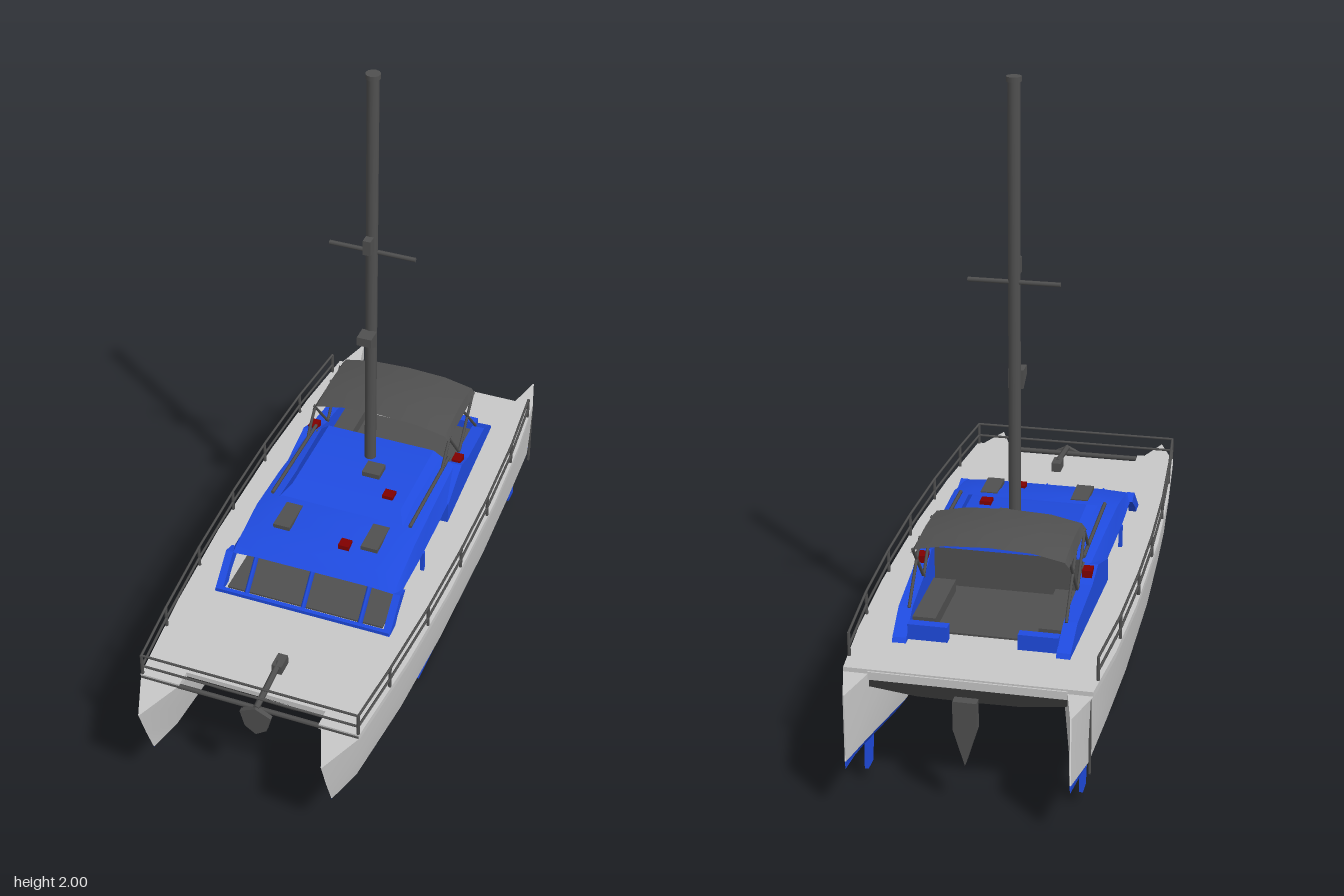
import * as THREE from 'three';
import { toCreasedNormals } from 'three/addons/utils/BufferGeometryUtils.js';

const mat = (name, color) => new THREE.MeshStandardMaterial({ name, color, side: THREE.DoubleSide });

// Surface through cross-sections that all have the same number of points
function loft(rings, closed = false, caps = false) {
  const n = rings[0].length, pos = rings.flat(2), idx = [];
  for (let i = 0; i < rings.length - 1; i++)
    for (let j = 0; j < (closed ? n : n - 1); j++) {
      const a = i * n + j, b = i * n + (j + 1) % n;
      idx.push(a, b, a + n, b, b + n, a + n);
    }
  if (caps) for (let j = 1; j < n - 1; j++) {
    const e = (rings.length - 1) * n;
    idx.push(0, j + 1, j, e, e + j, e + j + 1);
  }
  const g = new THREE.BufferGeometry();
  g.setAttribute('position', new THREE.Float32BufferAttribute(pos, 3));
  g.setIndex(idx);
  return toCreasedNormals(g, 0.5);
}

// Side profile given as [z, y], extruded from x0 to x0 + width
function sideProfile(points, x0, width) {
  const g = new THREE.ExtrudeGeometry(new THREE.Shape(points.map(p => new THREE.Vector2(...p))),
    { depth: width, bevelEnabled: false });
  return g.rotateY(-Math.PI / 2).translate(x0 + width, 0, 0);
}

export function createModel() {
  const model = new THREE.Group();
  const grey = mat('hullGrey', 0xc8c8c8), blue = mat('blue', 0x1f4be0);
  const dark = mat('darkGrey', 0x505050), black = mat('undersideBlack', 0x343434), red = mat('red', 0x800000);

  const add = (name, geo, m) => {
    const mesh = new THREE.Mesh(geo, m);
    mesh.name = name;
    model.add(mesh);
    return mesh;
  };
  const box = (name, w, h, d, x, y, z, m) => add(name, new THREE.BoxGeometry(w, h, d).translate(x, y, z), m);
  const rod = (name, a, b, r, m = dark, sides = 6) => {
    const p = new THREE.Vector3(...a), q = new THREE.Vector3(...b), dir = q.clone().sub(p);
    const mesh = add(name, new THREE.CylinderGeometry(r, r, dir.length(), sides), m);
    mesh.position.copy(p).add(q).multiplyScalar(0.5);
    mesh.quaternion.setFromUnitVectors(new THREE.Vector3(0, 1, 0), dir.normalize());
  };

  // Hull stations: z top, z waterline, inner/outer x at top, inner/outer x at waterline, keel y
  const stations = [
    [0.985, 0.905, 0.289, 0.292, 0.289, 0.292, 0.188],
    [0.84, 0.79, 0.232, 0.352, 0.264, 0.326, 0.168],
    [0.5, 0.48, 0.21, 0.383, 0.245, 0.355, 0.113],
    [0.15, 0.15, 0.205, 0.4, 0.235, 0.368, 0.09],
    [-0.3, -0.3, 0.205, 0.4, 0.235, 0.37, 0.095],
    [-0.6, -0.6, 0.22, 0.387, 0.245, 0.362, 0.122],
    [-0.85, -0.85, 0.29, 0.363, 0.297, 0.352, 0.15],
    [-0.985, -0.985, 0.322, 0.326, 0.322, 0.326, 0.165],
  ];
  const WL = 0.19;
  for (const s of [-1, 1]) {
    const topsides = stations.map(([zt, zw, it, ot, iw, ow]) => {
      const ym = 0.29, zm = (zt + zw) / 2, im = it * 0.6 + iw * 0.4, om = ot * 0.6 + ow * 0.4;
      return [[iw, WL, zw], [im, ym, zm], [it, 0.402, zt], [ot, 0.402, zt], [om, ym, zm], [ow, WL, zw]]
        .map(([x, y, z]) => [s * x, y, z]);
    });
    add('hullTopsides', loft(topsides, true), grey);
    const bottom = stations.map(([, zw, , , iw, ow, k]) => {
      const c = (iw + ow) / 2, h = (ow - iw) / 2, ym = k + (WL - k) * 0.42;
      return [[c - h, WL], [c - h * 0.55, ym], [c, k], [c + h * 0.55, ym], [c + h, WL]]
        .map(([x, y]) => [s * x, y, zw]);
    });
    add('hullBottom', loft(bottom), blue);
    // Keel and rudder
    add('keel', sideProfile([[0.25, 0.11], [0.22, 0.06], [0.17, 0.005], [-0.23, 0.005], [-0.23, 0.11]], s * 0.302 - 0.006, 0.012), blue);
    add('rudder', sideProfile([[-0.715, 0.16], [-0.74, 0.05], [-0.79, 0.05], [-0.785, 0.16]], s * 0.32 - 0.006, 0.012), blue);
    box('sternSeam', 0.006, 0.24, 0.01, s * 0.357, 0.28, -0.86, dark);
  }

  // Deck plate following the hull edges, notched at the bow
  const edge = stations.slice(1, 7).map(p => [p[3], p[0]]);
  const outline = [[0.225, 0.84], ...edge, [0.29, -0.85]];
  const full = [...outline, ...outline.map(([x, z]) => [-x, z]).reverse(), [-0.225, 0.785], [0.225, 0.785]];
  add('deck', new THREE.ExtrudeGeometry(new THREE.Shape(full.map(([x, z]) => new THREE.Vector2(x, -z))),
    { depth: 0.02, bevelEnabled: false }).rotateX(-Math.PI / 2).translate(0, 0.396, 0), grey);
  rod('bowBeam', [-0.35, 0.405, 0.835], [0.35, 0.405, 0.835], 0.008);

  // Underside between the hulls: z, side y, centre y, half width
  add('bridgeUnderside', loft([[0.785, 0.395, 0.385, 0.235], [0.6, 0.34, 0.305, 0.23], [0.3, 0.29, 0.245, 0.235],
    [-0.2, 0.28, 0.23, 0.235], [-0.6, 0.3, 0.26, 0.25], [-0.845, 0.36, 0.34, 0.3]].map(([z, ys, yc, w]) =>
    [[-w, 0.4, z], [-w, ys, z], [-w / 2, (ys + yc) / 2 - 0.008, z], [0, yc, z], [w / 2, (ys + yc) / 2 - 0.008, z], [w, ys, z], [w, 0.4, z]]),
    false, true), black);
  box('transomEdge', 0.58, 0.025, 0.02, 0, 0.398, -0.845, grey);

  // Cabin roof: z, eave x/y, shoulder x/y, top x/y
  add('cabinRoof', loft([
    [0.325, 0.283, 0.488, 0.27, 0.502, 0.19, 0.507],
    [0.27, 0.285, 0.488, 0.27, 0.518, 0.2, 0.53],
    [0.13, 0.287, 0.487, 0.27, 0.545, 0.2, 0.56],
    [-0.05, 0.285, 0.487, 0.265, 0.547, 0.2, 0.565],
    [-0.3, 0.278, 0.487, 0.255, 0.535, 0.2, 0.562],
  ].map(([z, ex, ey, sx, sy, tx, ty]) => [[-ex, ey, z], [-sx, sy, z], [-tx, ty, z], [tx, ty, z], [sx, sy, z], [ex, ey, z]])), blue);
  add('raisedRoof', loft([[0.55, 0.22, 0.1, -0.3], [0.583, 0.185, 0.03, -0.29]].map(([y, w, zf, zb]) =>
    [[-w, y, zf], [w, y, zf], [w, y, zb], [-w, y, zb]]), true, true), blue);

  // Windscreen posts, sill and side frames
  for (const x of [-0.19, 0, 0.19]) rod('windscreenPost', [x, 0.42, 0.41], [x, 0.505, 0.322], 0.008, blue, 4);
  box('windscreenSill', 0.58, 0.016, 0.014, 0, 0.42, 0.415, blue);
  for (const s of [-1, 1]) {
    add('frontPillar', sideProfile([[0.425, 0.414], [0.37, 0.414], [0.35, 0.44], [0.28, 0.49], [0.325, 0.504]], s * 0.281 - 0.012, 0.024), blue);
    box('sidePillar', 0.012, 0.075, 0.012, s * 0.285, 0.452, 0.095, blue);
    const wall = add('cockpitSide', sideProfile([[0, 0.414], [0, 0.49], [-0.15, 0.54], [-0.23, 0.51], [-0.43, 0.485], [-0.52, 0.43], [-0.53, 0.414]], -0.021, 0.042), blue);
    wall.position.set(s * 0.265, 0, -0.15);
    wall.rotation.y = s * 0.04;
    box('sternSeat', 0.12, 0.05, 0.03, s * 0.165, 0.44, -0.635, blue);
    box('cockpitBench', 0.07, 0.04, 0.26, s * 0.19, 0.44, -0.46, dark);
    rod('roofHandrail', [s * 0.235, 0.568, 0.08], [s * 0.235, 0.562, -0.3], 0.006);
    box('roofHatch', 0.055, 0.014, 0.115, s * 0.148, 0.557, 0.16, dark).name = 'roofHatch';
    box('sideLight', 0.03, 0.025, 0.04, s * 0.255, 0.53, -0.335, red);
  }
  box('cabinFloor', 0.52, 0.006, 0.99, 0, 0.419, -0.1, dark);
  box('cabinBulkhead', 0.46, 0.13, 0.01, 0, 0.485, -0.29, dark);
  box('mastFootBox', 0.06, 0.02, 0.06, 0.04, 0.59, -0.115, dark);
  box('roofLight', 0.036, 0.014, 0.036, 0.128, 0.588, -0.02, red);
  box('frontRoofLight', 0.036, 0.016, 0.036, 0.066, 0.547, 0.21, red);

  // Canopy over the cockpit with crossed struts
  const arc = [[-0.238, 0.645], [-0.225, 0.668], [-0.13, 0.688], [0, 0.694], [0.13, 0.688], [0.225, 0.668], [0.238, 0.645]];
  add('canopy', loft([[-0.278, -0.006], [-0.35, 0.003], [-0.42, 0.006], [-0.49, 0.003], [-0.556, -0.006]]
    .map(([z, dy]) => arc.map(([x, y], i) => [x, y + (i % 6 ? dy : 0), z]))), dark);
  for (const x of [-0.236, 0.236])
    for (const [z0, y0, z1, y1] of [[-0.23, 0.57, -0.3, 0.65], [-0.29, 0.65, -0.41, 0.5], [-0.53, 0.65, -0.405, 0.5], [-0.44, 0.65, -0.585, 0.485]])
      rod('canopyStrut', [x, y0, z0], [x, y1, z1], 0.005);

  // Mast with spreader and fittings
  rod('mast', [0, 0.56, -0.19], [0, 1.99, -0.19], 0.019, dark, 12);
  rod('mastCap', [0, 1.985, -0.19], [0, 2, -0.19], 0.023, dark, 12);
  rod('spreader', [-0.14, 1.385, -0.195], [0.14, 1.385, -0.195], 0.007);
  box('mastLamp', 0.025, 0.05, 0.03, 0, 1.425, -0.158, dark);
  add('mastRadar', sideProfile([[-0.125, 1.1], [-0.125, 1.07], [-0.175, 1.04], [-0.175, 1.1]], -0.024, 0.048), dark);

  // Guard rails along both sides and across the bow
  const railX = z => {
    const i = Math.max(0, edge.findIndex((p, k) => k < edge.length - 1 && z <= p[1] && z >= edge[k + 1][1]));
    const [x0, z0] = edge[i], [x1, z1] = edge[i + 1];
    return x0 + (x1 - x0) * (z - z0) / (z1 - z0) - 0.005;
  };
  const postZ = [0.835, 0.62, 0.33, 0.04, -0.23, -0.52, -0.78];
  for (const s of [-1, 1]) postZ.forEach((z, i) => {
    const x = s * railX(z);
    rod('railPost', [x, 0.41, z], [x, 0.49, z], 0.005);
    if (i) for (const y of [0.447, 0.49]) rod('guardRail', [s * railX(postZ[i - 1]), y, postZ[i - 1]], [x, y, z], 0.004);
  });
  for (const y of [0.447, 0.49]) rod('bowRail', [-railX(0.835), y, 0.835], [railX(0.835), y, 0.835], 0.004);

  // Anchor on its roller
  rod('anchorShank', [0.03, 0.442, 0.67], [0.03, 0.42, 0.85], 0.01);
  box('anchorWinch', 0.032, 0.035, 0.055, 0.03, 0.43, 0.665, dark);
  const plate = (pts, z, depth) => new THREE.ExtrudeGeometry(new THREE.Shape(pts.map(p => new THREE.Vector2(...p))),
    { depth, bevelEnabled: false }).translate(0, 0, z);
  add('anchorFluke', plate([[0.03, 0.425], [0.08, 0.4], [0.065, 0.345], [0.03, 0.32], [-0.005, 0.345], [-0.02, 0.4]], 0.845, 0.015), dark);

  // Drive leg under the stern
  add('driveLeg', plate([[-0.035, 0.36], [0.035, 0.36], [0.035, 0.27], [0, 0.155], [-0.035, 0.27]], -0.885, 0.03), dark);

  return model;
}
